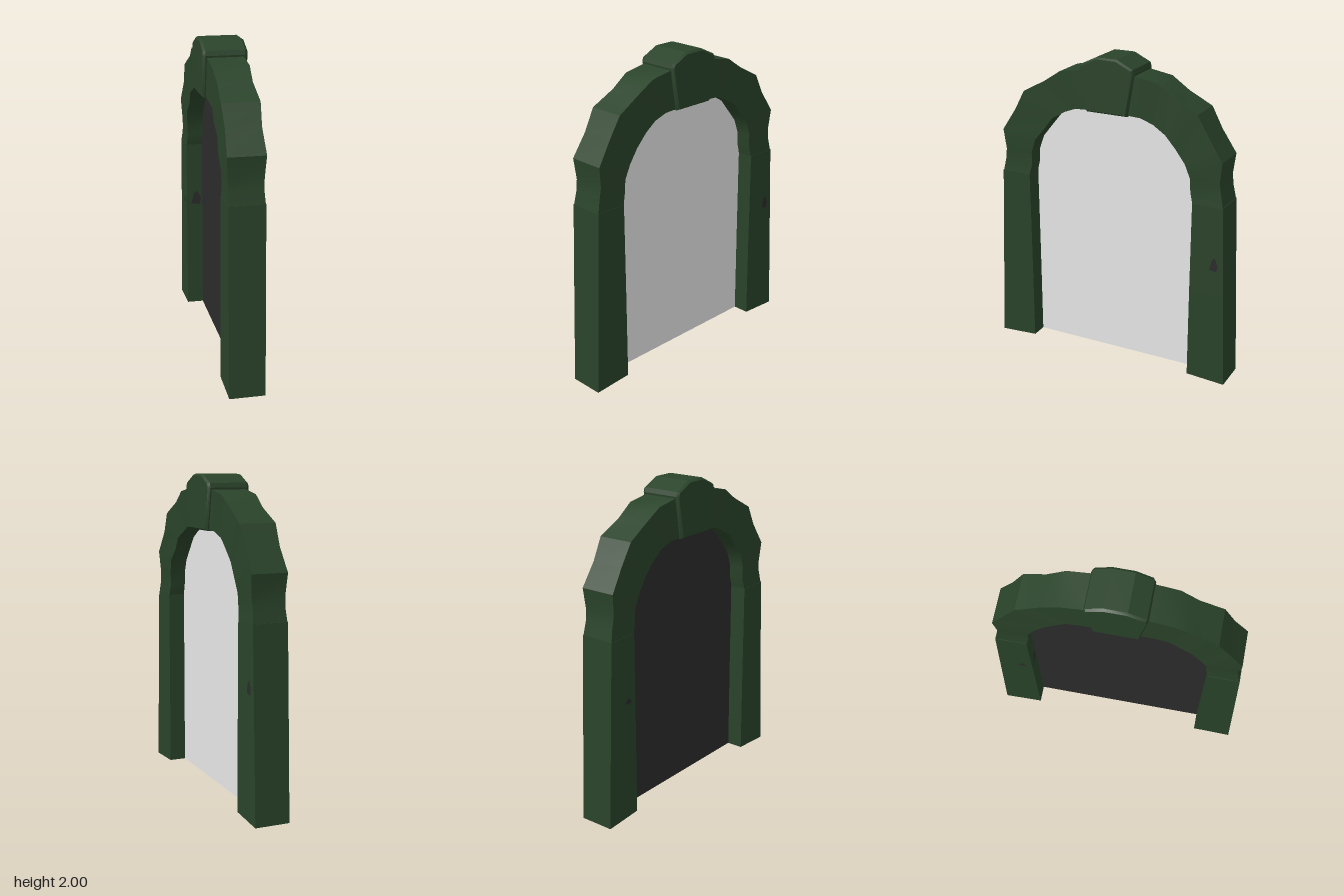
import * as THREE from 'three';
import { toCreasedNormals } from 'three/addons/utils/BufferGeometryUtils.js';

const green = new THREE.MeshStandardMaterial({ color: 0x2a432a });
const dark = new THREE.MeshStandardMaterial({ color: 0x2c2c2c });
const pale = new THREE.MeshStandardMaterial({ color: 0xfafafa });
green.name = 'darkGreenStone';
dark.name = 'charcoal';
pale.name = 'paleGrey';

// Sections: [innerX, innerY, outerX, outerY, halfThickness], from the foot upwards
const pillar = [
  [0.565, 0.015, 0.815, 0.0, 0.11],
  [0.565, 0.6, 0.79, 0.6, 0.11],
  [0.567, 1.18, 0.765, 1.18, 0.11],
];
const arch = [
  [0.567, 1.18, 0.762, 1.18, 0.108],
  [0.55, 1.25, 0.746, 1.26, 0.102],
  [0.548, 1.33, 0.736, 1.33, 0.106],
  [0.515, 1.42, 0.75, 1.46, 0.114],
  [0.45, 1.5, 0.66, 1.6, 0.106],
  [0.385, 1.58, 0.587, 1.73, 0.114],
  [0.3, 1.63, 0.44, 1.81, 0.104],
  [0.22, 1.662, 0.325, 1.885, 0.112],
  [0.1, 1.668, 0.12, 1.92, 0.112],
];

// Joins four-cornered sections into a closed block; side = 1 or -1 mirrors it
function loft(sections, side) {
  const rings = sections.map(([ix, iy, ox, oy, t]) => {
    const ring = [[ix, iy, t], [ox, oy, t], [ox, oy, -t], [ix, iy, -t]]
      .map(([x, y, z]) => [x * side, y, z]);
    return side < 0 ? ring.reverse() : ring;
  });
  const out = [];
  const quad = (a, b, c, d) => out.push(...a, ...b, ...c, ...a, ...c, ...d);
  for (let i = 0; i < rings.length - 1; i++) {
    for (let j = 0; j < 4; j++) {
      const k = (j + 1) % 4;
      quad(rings[i][j], rings[i][k], rings[i + 1][k], rings[i + 1][j]);
    }
  }
  const first = rings[0], last = rings[rings.length - 1];
  quad(first[3], first[2], first[1], first[0]);
  quad(last[0], last[1], last[2], last[3]);
  const g = new THREE.BufferGeometry();
  g.setAttribute('position', new THREE.Float32BufferAttribute(out, 3));
  return toCreasedNormals(g, 0.5);
}

function polygon(points) {
  return new THREE.Shape(points.map(([x, y]) => new THREE.Vector2(x, y)));
}

export function createModel() {
  const model = new THREE.Group();
  model.name = 'archway';
  const add = (name, geometry, material) => {
    const mesh = new THREE.Mesh(geometry, material);
    mesh.name = name;
    model.add(mesh);
    return mesh;
  };

  // Pillars and curved stones on both sides
  for (const [side, label] of [[1, 'left'], [-1, 'right']]) {
    add(label + 'Pillar', loft(pillar, side), green);
    add(label + 'ArchStone', loft(arch, side), green);
  }

  // Keystone with softened edges
  const key = polygon([[-0.13, 1.67], [0.13, 1.67], [0.172, 1.92], [0.165, 1.942],
    [0.065, 1.99], [-0.065, 1.99], [-0.165, 1.942], [-0.172, 1.92]]);
  const keyGeometry = new THREE.ExtrudeGeometry(key, {
    depth: 0.24, bevelEnabled: true, bevelSize: 0.01, bevelThickness: 0.015, bevelSegments: 1,
  });
  keyGeometry.translate(0, 0, -0.12);
  add('keystone', toCreasedNormals(keyGeometry, 0.4), green);

  // Door panel filling the opening: dark on one face, pale on the other
  const edge = [[0.57, 0.015], ...arch.map(([x, y]) => [x + 0.005, y + 0.005])];
  const opening = polygon([...edge, ...edge.map(([x, y]) => [-x, y]).reverse()]);
  add('doorFront', new THREE.ShapeGeometry(opening), dark).position.z = 0.003;
  const back = add('doorBack', new THREE.ShapeGeometry(opening), pale);
  back.rotation.y = Math.PI;
  back.position.z = -0.003;

  // Small dark chips on the right pillar
  const chip = (name, w, h, x, y, z, turn) => {
    const shape = polygon([[-w * 0.5, -h * 0.4], [w * 0.3, -h * 0.5], [w * 0.5, -h * 0.1],
      [w * 0.1, h * 0.5], [-w * 0.25, h * 0.3]]);
    const mesh = add(name, new THREE.ShapeGeometry(shape), dark);
    mesh.position.set(x, y, z);
    mesh.rotation.y = turn;
  };
  chip('chipFront', 0.06, 0.04, -0.63, 0.775, 0.112, 0);
  chip('chipInner', 0.07, 0.1, -0.563, 0.8, 0.045, Math.PI / 2);
  chip('chipBack', 0.055, 0.09, -0.72, 0.81, -0.112, Math.PI);

  // The whole arch stands turned about the vertical axis
  model.rotation.y = THREE.MathUtils.degToRad(-58.5);
  const root = new THREE.Group();
  root.name = 'turnedArchway';
  root.add(model);
  return root;
}
